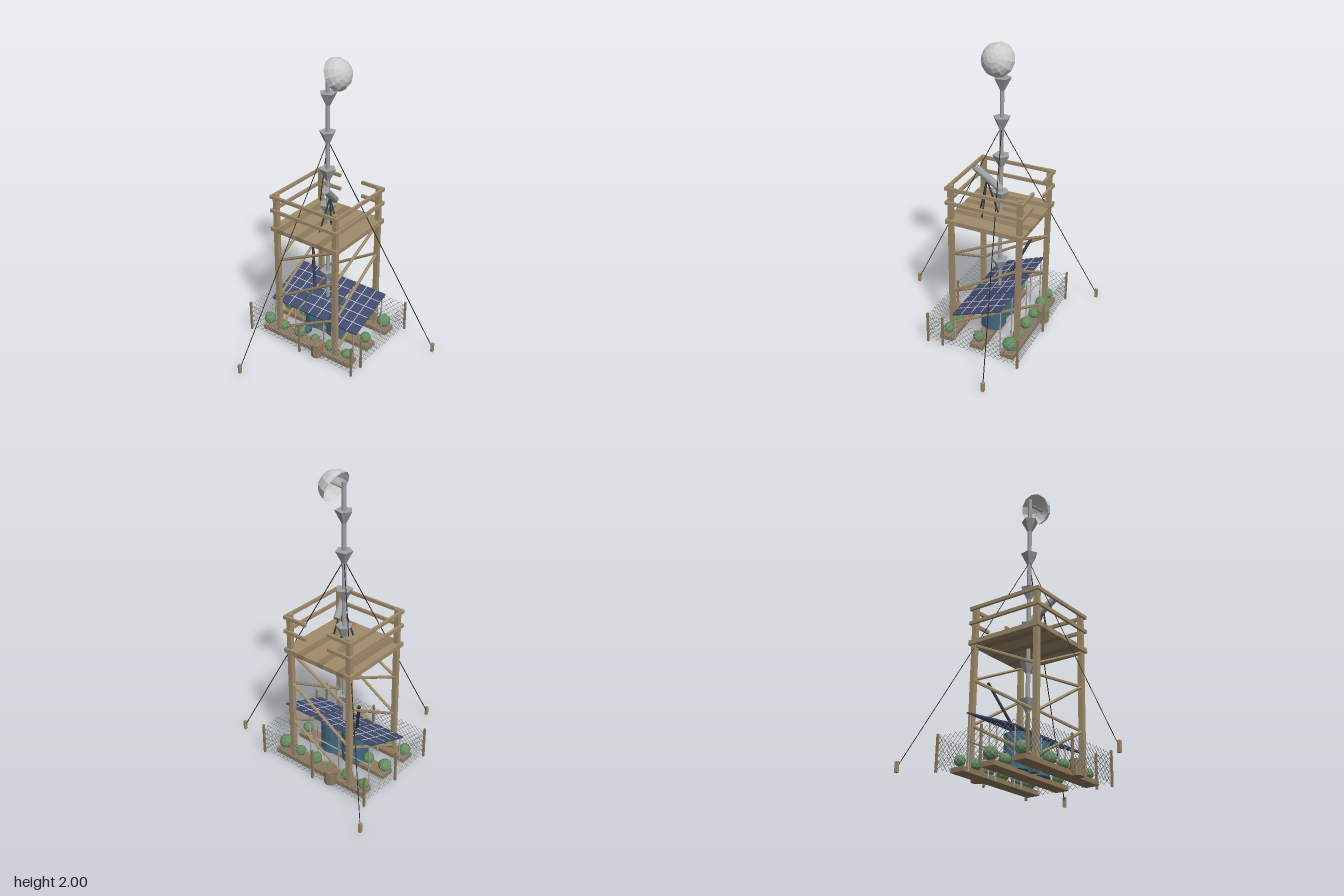
import * as THREE from 'three';

const CX = -0.087, CZ = -0.112; // tower axis
const mat = (color) => new THREE.MeshStandardMaterial({ color, flatShading: true, side: THREE.DoubleSide });
const M = {
  wood: mat(0xa18c6c), woodDark: mat(0x8f7a5c), metal: mat(0x9fa1a3), dish: mat(0xcccccc),
  dark: mat(0x3a3c3f), wire: mat(0x2c2c2c), cell: mat(0x434d70), line: mat(0xc4c8d0),
  barrel: mat(0x44687f), leaf: mat(0x648f60), mesh: mat(0x8a8c8c),
};
const V = (x, y, z) => new THREE.Vector3(x, y, z);

export function createModel() {
  const root = new THREE.Group();

  const add = (name, geo, material, x = 0, y = 0, z = 0, parent = root) => {
    const m = new THREE.Mesh(geo, material);
    m.name = name;
    m.position.set(x, y, z);
    parent.add(m);
    return m;
  };
  const box = (name, w, h, d, material, x, y, z, parent) =>
    add(name, new THREE.BoxGeometry(w, h, d), material, x, y, z, parent);
  // Round or square bar between two points
  const bar = (name, a, b, r, material, sides = 6, parent = root) => {
    const d = b.clone().sub(a);
    const m = add(name, new THREE.CylinderGeometry(r, r, d.length(), sides), material, 0, 0, 0, parent);
    m.position.copy(a).add(b).multiplyScalar(0.5);
    m.quaternion.setFromUnitVectors(V(0, 1, 0), d.normalize());
    return m;
  };
  const group = (name) => {
    const g = new THREE.Group();
    g.name = name;
    root.add(g);
    return g;
  };

  // Tower posts
  const tower = group('tower');
  const P = 0.237;
  for (const sx of [-1, 1]) for (const sz of [-1, 1])
    box('post', 0.032, 1.1, 0.032, M.wood, CX + sx * P, 0.55, CZ + sz * P, tower);

  // Diagonal braces, three levels on each face
  for (const [y0, y1] of [[0.05, 0.31], [0.31, 0.6], [0.6, 0.83]]) {
    for (const s of [-1, 1]) {
      bar('brace', V(CX - P, y0, CZ + s * P), V(CX + P, y1, CZ + s * P), 0.01, M.wood, 6, tower);
      bar('brace', V(CX + s * P, y0, CZ + P), V(CX + s * P, y1, CZ - P), 0.01, M.wood, 6, tower);
    }
  }

  // Deck planks
  const deck = group('deck');
  for (let i = 0; i < 10; i++)
    box('plank', 0.0533, 0.03, 0.534, i % 3 === 1 ? M.woodDark : M.wood, CX - 0.24 + i * 0.0533, 0.845, CZ, deck);

  // Railings, with an opening at the back
  const rails = group('railing');
  for (const y of [0.98, 1.08]) {
    box('rail', 0.534, 0.022, 0.016, M.wood, CX, y, CZ + 0.258, rails);
    for (const s of [-1, 1]) {
      box('rail', 0.016, 0.022, 0.534, M.wood, CX + s * 0.258, y, CZ, rails);
      box('rail', 0.18, 0.022, 0.016, M.wood, CX + s * 0.177, y, CZ - 0.258, rails);
    }
  }

  // Mast with flared collars
  const mast = group('mast');
  bar('mastPole', V(CX, 0, CZ), V(CX, 1.94, CZ), 0.014, M.metal, 8, mast);
  for (let i = 0; i < 6; i++) {
    const c = add('collar', new THREE.CylinderGeometry(0.057, 0.014, 0.085, 5), M.metal, CX, 0.45 + i * 0.255, CZ, mast);
    c.rotation.y = 0.3 + i * 0.9;
  }

  // Dish: half sphere, open side facing -x and slightly down
  const dish = add('dish', new THREE.SphereGeometry(0.106, 12, 5, 0, Math.PI * 2, 0, Math.PI / 2), M.dish, -0.03, 1.892, CZ);
  dish.quaternion.setFromUnitVectors(V(0, 1, 0), V(0.917, 0.4, 0).normalize());
  bar('dishArm', V(CX, 1.9, CZ), V(0.05, 1.92, CZ), 0.008, M.metal);

  // Guy wires and ground anchors
  for (const [x, z] of [[-0.637, -0.627], [0.633, -0.335], [-0.258, 0.62]]) {
    bar('guyWire', V(CX, 1.45, CZ), V(x, 0.03, z), 0.003, M.wire, 4);
    box('anchor', 0.018, 0.065, 0.02, M.wood, x, 0.0325, z);
  }

  // Telescope on a tripod
  const scope = group('telescope');
  bar('telescopeTube', V(-0.043, 1.04, -0.13), V(0.003, 1.185, 0.03), 0.024, M.metal, 10, scope);
  for (let i = 0; i < 3; i++) {
    const a = i * Math.PI * 2 / 3;
    bar('tripodLeg', V(-0.02, 1.1, -0.045), V(-0.02 + 0.073 * Math.cos(a), 0.86, -0.045 + 0.073 * Math.sin(a)), 0.006, M.dark, 5, scope);
  }

  // Tilted solar panels with 3 x 5 cells and legs
  const W = 0.225, L = 0.371;
  for (const x of [-0.334, -0.087, 0.161]) {
    const p = group('solarPanel');
    p.position.set(x, 0.278, CZ);
    p.rotation.x = Math.atan2(0.135, 0.346);
    box('panelBoard', W, 0.01, L, M.cell, 0, 0, 0, p);
    for (const s of [-1, 1]) box('cellLine', 0.005, 0.002, L, M.line, s * W / 6, 0.006, 0, p);
    for (let i = 1; i < 5; i++) box('cellLine', W, 0.002, 0.005, M.line, 0, 0.006, -L / 2 + i * L / 5, p);
    for (const s of [-1, 1]) {
      bar('panelLeg', V(x + s * 0.09, 0, 0.055), V(x + s * 0.09, 0.21, 0.055), 0.005, M.metal);
      bar('panelLeg', V(x + s * 0.09, 0, -0.275), V(x + s * 0.09, 0.338, -0.275), 0.005, M.metal);
    }
    bar('panelCrossbar', V(x - 0.11, 0.175, -0.275), V(x + 0.11, 0.175, -0.275), 0.005, M.metal);
  }

  // Water barrels with rims
  for (const x of [-0.179, 0.004]) {
    const b = group('waterBarrel');
    b.position.set(x, 0, CZ);
    add('barrelBody', new THREE.CylinderGeometry(0.084, 0.084, 0.22, 14), M.barrel, 0, 0.135, 0, b);
    for (const y of [0.03, 0.1, 0.17, 0.24])
      add('barrelRim', new THREE.CylinderGeometry(0.087, 0.087, 0.01, 14), M.barrel, 0, y, 0, b);
  }
  box('tapBox', 0.04, 0.035, 0.05, M.barrel, -0.179, 0.02, 0.005);

  // Dark pole leaning out of the barrels
  bar('leaningPole', V(-0.19, 0.24, -0.105), V(-0.315, 0.56, -0.24), 0.01, M.dark, 6);

  // Planter boards with round bushes
  [-0.335, CZ, 0.108].forEach((z, row) => {
    box('planterBoard', 0.735, 0.03, 0.095, M.woodDark, CX, 0.015, z);
    for (let i = 0; i < 6; i++) {
      if (row === 1 && i > 1 && i < 5) continue;
      const r = 0.035 + 0.003 * ((i * 2 + row * 3) % 4) + (row === 0 && i === 5 ? 0.007 : 0);
      const bush = add('bush', new THREE.IcosahedronGeometry(r, 1), M.leaf, -0.43 + i * 0.133, 0.035 + r, z);
      bush.rotation.y = i;
    }
  });

  // Wooden tubs
  for (const [x, z] of [[-0.203, -0.39], [0.03, 0.165]])
    add('tub', new THREE.CylinderGeometry(0.047, 0.042, 0.1, 10), M.woodDark, x, 0.05, z);

  // Fence posts
  const fence = group('fence');
  const X0 = -0.515, X1 = 0.343, Z0 = -0.437, Z1 = 0.21;
  for (const [x, z] of [[X0, Z0], [CX, Z0], [X1, Z0], [X0, CZ], [X1, 0.1], [X0, Z1], [CX, Z1], [X1, Z1]])
    box('fencePost', 0.013, 0.225, 0.013, M.woodDark, x, 0.1125, z, fence);

  // Chain-link: crossing wires clipped to each side
  const chainLink = (a, b) => {
    const len = a.distanceTo(b), dir = b.clone().sub(a).normalize(), H = 0.19, y0 = 0.022, step = 0.038;
    for (let s = -H + step / 2; s < len; s += step) {
      const t0 = Math.max(0, -s), t1 = Math.min(H, len - s);
      if (t1 - t0 < 0.01) continue;
      for (const flip of [false, true]) {
        const pt = (t) => a.clone().addScaledVector(dir, s + t).setY(y0 + (flip ? H - t : t));
        bar('meshWire', pt(t0), pt(t1), 0.0014, M.mesh, 3, fence);
      }
    }
  };
  const corners = [V(X0, 0, Z0), V(X1, 0, Z0), V(X1, 0, Z1), V(X0, 0, Z1)];
  corners.forEach((c, i) => chainLink(c, corners[(i + 1) % 4]));

  return root;
}
